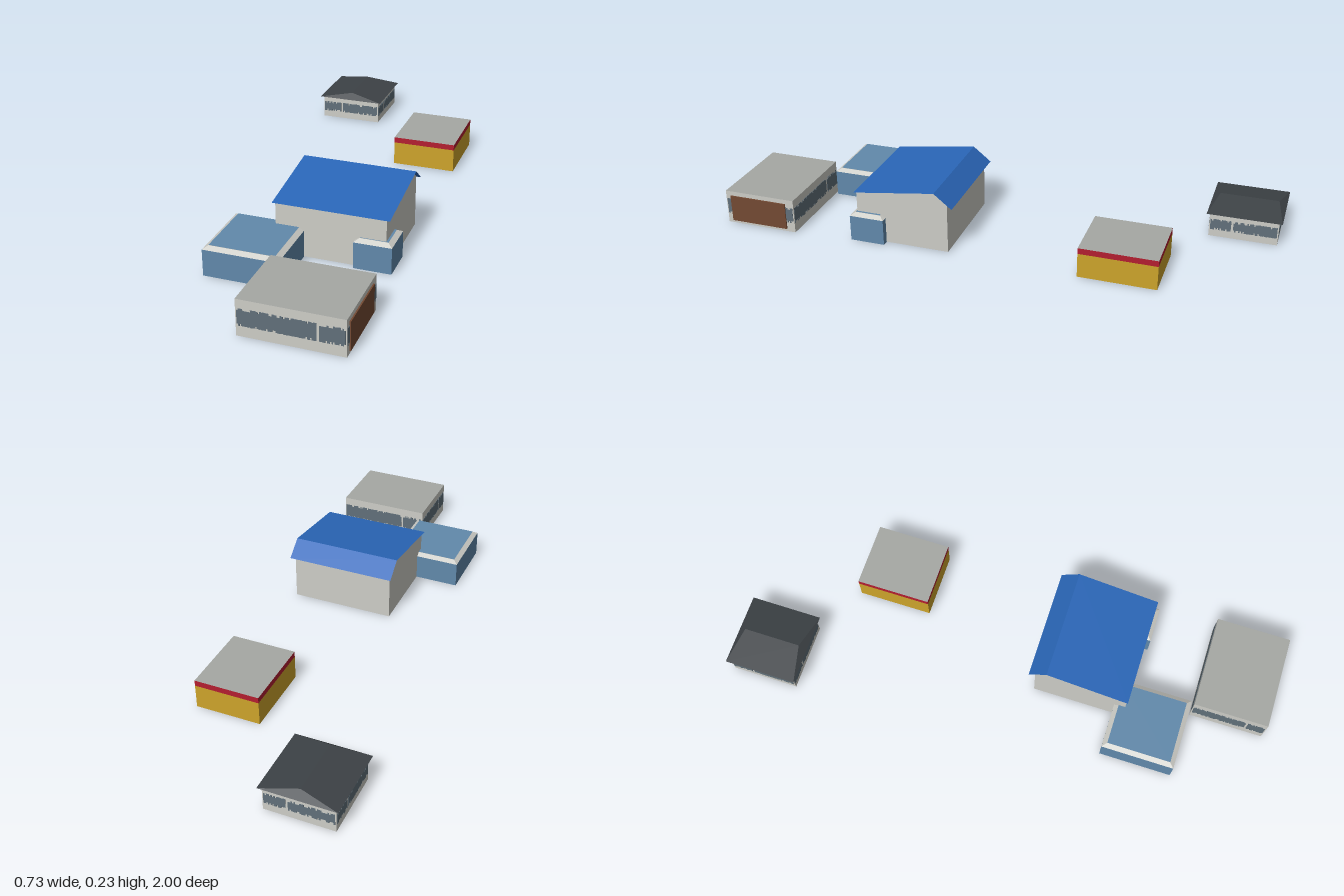
import * as THREE from 'three';

const mat = (name, color) => {
  const m = new THREE.MeshStandardMaterial({ color, side: THREE.DoubleSide });
  m.name = name;
  return m;
};

export function createModel() {
  const M = {
    wall: mat('pale wall', 0xcdcdc7),
    flatRoof: mat('grey roof', 0xa6a8a4),
    window: mat('window band', 0x61707a),
    glass: mat('blue glass', 0x6189ab),
    blueRoof: mat('blue roof', 0x2a67b9),
    darkRoof: mat('dark roof', 0x3d4246),
    yellow: mat('yellow wall', 0xcda42b),
    red: mat('red fascia', 0xb41e30),
    door: mat('brown door', 0x744a33),
  };

  let seed = 7;
  const rand = () => (seed = (seed * 16807) % 2147483647) / 2147483647;

  const add = (parent, name, geo, material) => {
    const mesh = new THREE.Mesh(geo, material);
    mesh.name = name;
    parent.add(mesh);
    return mesh;
  };

  const building = (name) => {
    const g = new THREE.Group();
    g.name = name;
    root.add(g);
    return g;
  };

  // flat-shaded sheet made of four-cornered faces
  const sheet = (quads) => {
    const pos = quads.flatMap(([a, b, c, d]) => [a, b, c, a, c, d].flat());
    const geo = new THREE.BufferGeometry();
    geo.setAttribute('position', new THREE.Float32BufferAttribute(pos, 3));
    geo.computeVertexNormals();
    return geo;
  };

  const ring = ([x0, x1, z0, z1], y) => [[x0, y, z1], [x1, y, z1], [x1, y, z0], [x0, y, z0]];
  const inset = ([x0, x1, z0, z1], d) => [x0 + d, x1 - d, z0 + d, z1 - d];

  // four side faces between two rectangles
  const sides = (low, y0, high, y1) => {
    const a = ring(low, y0), b = ring(high, y1);
    return a.map((p, i) => [p, a[(i + 1) % 4], b[(i + 1) % 4], b[i]]);
  };
  const walls = (r, y0, y1) => sheet(sides(r, y0, r, y1));
  const cap = (r, y) => sheet([ring(r, y)]);

  // ragged strip of windows, visible on both faces of the wall
  const bandGeo = (len, y0, y1) => {
    const n = Math.max(4, Math.round(len / 0.005)), step = len / n;
    const edge = (y, s) => {
      const pts = [];
      for (let i = 0; i < n; i++) {
        const h = y + s * (rand() < 0.3 ? 0.008 : rand() * 0.002);
        pts.push(new THREE.Vector2(i * step - len / 2, h), new THREE.Vector2((i + 1) * step - len / 2, h));
      }
      return pts;
    };
    const shape = new THREE.Shape([...edge(y0, 1), ...edge(y1, -1).reverse()]);
    return new THREE.ExtrudeGeometry(shape, { depth: 0.003, bevelEnabled: false }).translate(0, 0, -0.0015);
  };

  // window strips round a building, split by a narrow pier
  const bands = (parent, [x0, x1, z0, z1], y0, y1, split) => {
    const cx = (x0 + x1) / 2, cz = (z0 + z1) / 2;
    const faces = [
      [cx, z1, 0, x1 - x0], [x1, cz, Math.PI / 2, z1 - z0],
      [cx, z0, Math.PI, x1 - x0], [x0, cz, -Math.PI / 2, z1 - z0],
    ];
    for (const [x, z, turn, len] of faces) {
      const side = new THREE.Group();
      side.name = 'windowSide';
      side.position.set(x, 0, z);
      side.rotation.y = turn;
      parent.add(side);
      const full = len - 0.008, gap = 0.008;
      const first = full * split - gap / 2, second = full * (1 - split) - gap / 2;
      add(side, 'windowBand', bandGeo(first, y0, y1), M.window).position.x = -full / 2 + first / 2;
      add(side, 'windowBand', bandGeo(second, y0, y1), M.window).position.x = full / 2 - second / 2;
    }
  };

  const root = new THREE.Group();
  root.name = 'buildingCluster';

  // front hall with flat roof and large end door
  const hall = building('frontHall');
  const hr = [0.002, 0.357, 0.72, 0.998];
  add(hall, 'hallWalls', walls(hr, 0, 0.13), M.wall);
  add(hall, 'hallRoof', cap(hr, 0.13), M.flatRoof);
  bands(hall, hr, 0.037, 0.1, 0.75);
  add(hall, 'hallDoor', new THREE.BoxGeometry(0.007, 0.102, 0.225), M.door).position.set(0.3585, 0.062, 0.865);

  // main building: uneven gable walls and a folded sheet roof
  const main = building('mainBuilding');
  const X0 = -0.08, X1 = 0.315, ZB = 0.13, ZR = 0.177, ZF = 0.48;
  const gable = (x) => [
    [[x, 0, ZF], [x, 0, ZR], [x, 0.231, ZR], [x, 0.188, ZF]],
    [[x, 0, ZR], [x, 0, ZB], [x, 0.192, ZB], [x, 0.231, ZR]],
  ];
  add(main, 'mainWalls', sheet([
    ...gable(X1),
    ...gable(X0).map((q) => q.reverse()),
    [[X0, 0, ZF], [X1, 0, ZF], [X1, 0.188, ZF], [X0, 0.188, ZF]],
    [[X1, 0, ZB], [X0, 0, ZB], [X0, 0.192, ZB], [X1, 0.192, ZB]],
  ]), M.wall);
  const RX0 = -0.091, RX1 = 0.327;
  add(main, 'mainRoof', sheet([
    [[RX0, 0.189, 0.485], [RX1, 0.189, 0.485], [RX1, 0.233, 0.175], [RX0, 0.233, 0.175]],
    [[RX0, 0.233, 0.175], [RX1, 0.233, 0.175], [RX1, 0.18, 0.108], [RX0, 0.18, 0.108]],
  ]), M.blueRoof);
  const inner = add(main, 'innerWindows', bandGeo(0.28, 0.035, 0.095), M.window);
  inner.position.set(X0 + 0.002, 0, 0.29);
  inner.rotation.y = Math.PI / 2;

  // glazed blocks with a sloping pale rim
  const glazed = (name, r) => {
    const g = building(name);
    const top = inset(r, 0.017);
    add(g, 'glassWalls', walls(r, 0, 0.098), M.glass);
    add(g, 'slopedRim', sheet(sides(r, 0.098, top, 0.109)), M.wall);
    add(g, 'ceiling', cap(top, 0.108), M.flatRoof);
    add(g, 'roofPanel', cap(top, 0.11), M.glass);
  };
  glazed('glassBlock', [-0.248, 0.022, 0.438, 0.71]);
  glazed('glassAnnex', [0.205, 0.34, 0.37, 0.5]);

  // yellow shop with red fascia
  const shop = building('yellowShop');
  const sr = [0.09, 0.334, -0.635, -0.353];
  add(shop, 'shopWalls', walls(sr, 0, 0.091), M.yellow);
  add(shop, 'shopFascia', walls(sr, 0.091, 0.113), M.red);
  add(shop, 'shopRoof', cap(sr, 0.113), M.flatRoof);

  // small house with a dark ridged roof and short hips
  const house = building('darkRoofHouse');
  const dr = [-0.352, -0.102, -0.988, -0.738];
  const eave = [-0.364, -0.09, -1, -0.727];
  add(house, 'houseWalls', walls(dr, 0, 0.093), M.wall);
  bands(house, dr, 0.027, 0.071, 0.33);
  add(house, 'houseRoof', sheet([
    ...sides(eave, 0.093, [-0.227, -0.227, -0.972, -0.755], 0.117),
    ring(eave, 0.093).reverse(),
  ]), M.darkRoof);

  return root;
}
